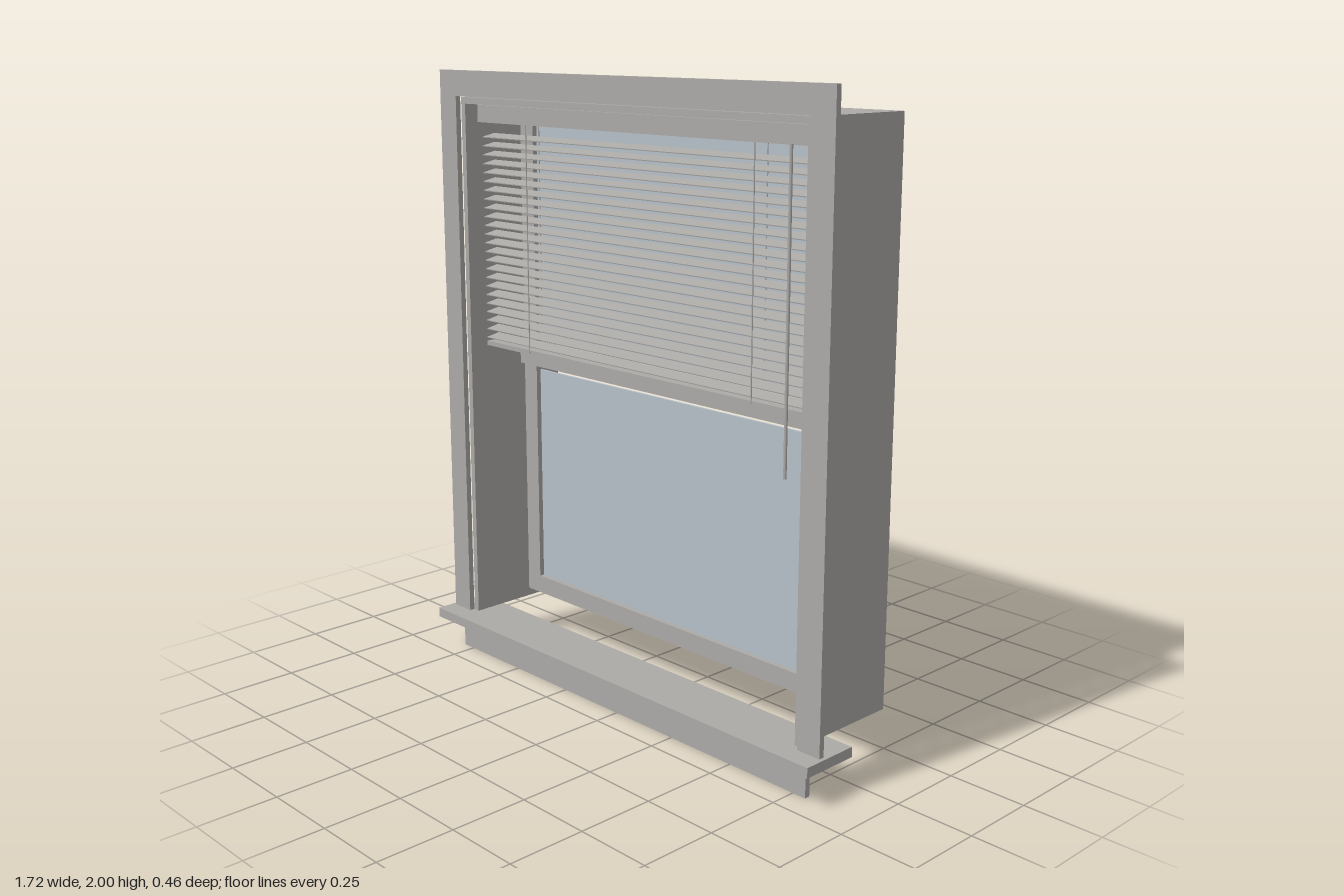
import * as THREE from 'three';

const frame = new THREE.MeshStandardMaterial({ color: 0xacaaa7 });
frame.name = 'warm grey paint';
const glass = new THREE.MeshStandardMaterial({ color: 0xb6bfc9 });
glass.name = 'pale blue glass';

// Box given by its limits on each axis
function block(parent, name, [x0, x1], [y0, y1], [z0, z1], material = frame) {
  const mesh = new THREE.Mesh(new THREE.BoxGeometry(x1 - x0, y1 - y0, z1 - z0), material);
  mesh.position.set((x0 + x1) / 2, (y0 + y1) / 2, (z0 + z1) / 2);
  mesh.name = name;
  parent.add(mesh);
  return mesh;
}

// The same box on both sides
function pair(parent, name, [x0, x1], y, z) {
  block(parent, name + 'Left', [x0, x1], y, z);
  block(parent, name + 'Right', [-x1, -x0], y, z);
}

function rod(parent, name, radius, x, [y0, y1], z, sides) {
  const mesh = new THREE.Mesh(new THREE.CylinderGeometry(radius, radius, y1 - y0, sides), frame);
  mesh.position.set(x, (y0 + y1) / 2, z);
  mesh.name = name;
  parent.add(mesh);
}

function group(parent, name) {
  const g = new THREE.Group();
  g.name = name;
  parent.add(g);
  return g;
}

export function createModel() {
  const model = new THREE.Group();
  model.name = 'window';

  // Trim around the opening
  const trim = group(model, 'trim');
  const trimZ = [0.148, 0.166];
  block(trim, 'headCasing', [-0.846, 0.846], [1.917, 2], trimZ);
  pair(trim, 'sideCasing', [0.763, 0.846], [0.138, 1.917], trimZ);
  block(trim, 'stool', [-0.858, 0.858], [0.106, 0.138], [0.037, 0.231]);
  block(trim, 'apron', [-0.797, 0.797], [0, 0.106], trimZ);

  // Deep jamb lining, open at the bottom
  const jamb = group(model, 'jamb');
  const jambZ = [-0.231, 0.148];
  block(jamb, 'headJamb', [-0.758, 0.758], [1.893, 1.914], jambZ);
  pair(jamb, 'sideJamb', [0.738, 0.758], [0.138, 1.893], jambZ);

  // Sash frame, meeting rail and two panes
  const sash = group(model, 'sash');
  const sashZ = [-0.122, -0.08];
  pair(sash, 'stile', [0.672, 0.736], [0.167, 1.893], sashZ);
  block(sash, 'bottomRail', [-0.672, 0.672], [0.167, 0.229], sashZ);
  block(sash, 'topRail', [-0.672, 0.672], [1.83, 1.893], sashZ);
  block(sash, 'meetingRail', [-0.736, 0.736], [1.0, 1.06], [-0.138, -0.062]);
  block(sash, 'sashLock', [-0.077, 0.077], [1.05, 1.084], [-0.064, -0.035]);
  block(sash, 'lowerPane', [-0.672, 0.672], [0.229, 0.98], [-0.105, -0.097], glass);
  block(sash, 'upperPane', [-0.672, 0.672], [1.08, 1.83], [-0.105, -0.097], glass);

  // Blind, lowered over the upper half
  const blind = group(model, 'blind');
  block(blind, 'blindHeadrail', [-0.735, 0.735], [1.832, 1.888], [0.035, 0.1]);
  for (let i = 0; i < 24; i++) {
    const y = 1.788 - i * 0.0292;
    const slat = block(blind, 'slat', [-0.725, 0.725], [y - 0.0015, y + 0.0015], [0.04, 0.09]);
    slat.rotation.x = 0.2; // front edge tipped down
  }
  block(blind, 'blindBottomRail', [-0.725, 0.725], [1.085, 1.1], [0.04, 0.09]);

  // Ladder cords in front of and behind the slats, and the tilt wand
  for (const x of [-0.497, 0.497])
    for (const z of [0.038, 0.092]) rod(blind, 'ladderCord', 0.002, x, [1.09, 1.835], z, 6);
  rod(blind, 'tiltWand', 0.005, 0.645, [0.903, 1.835], 0.108, 8);

  return model;
}
